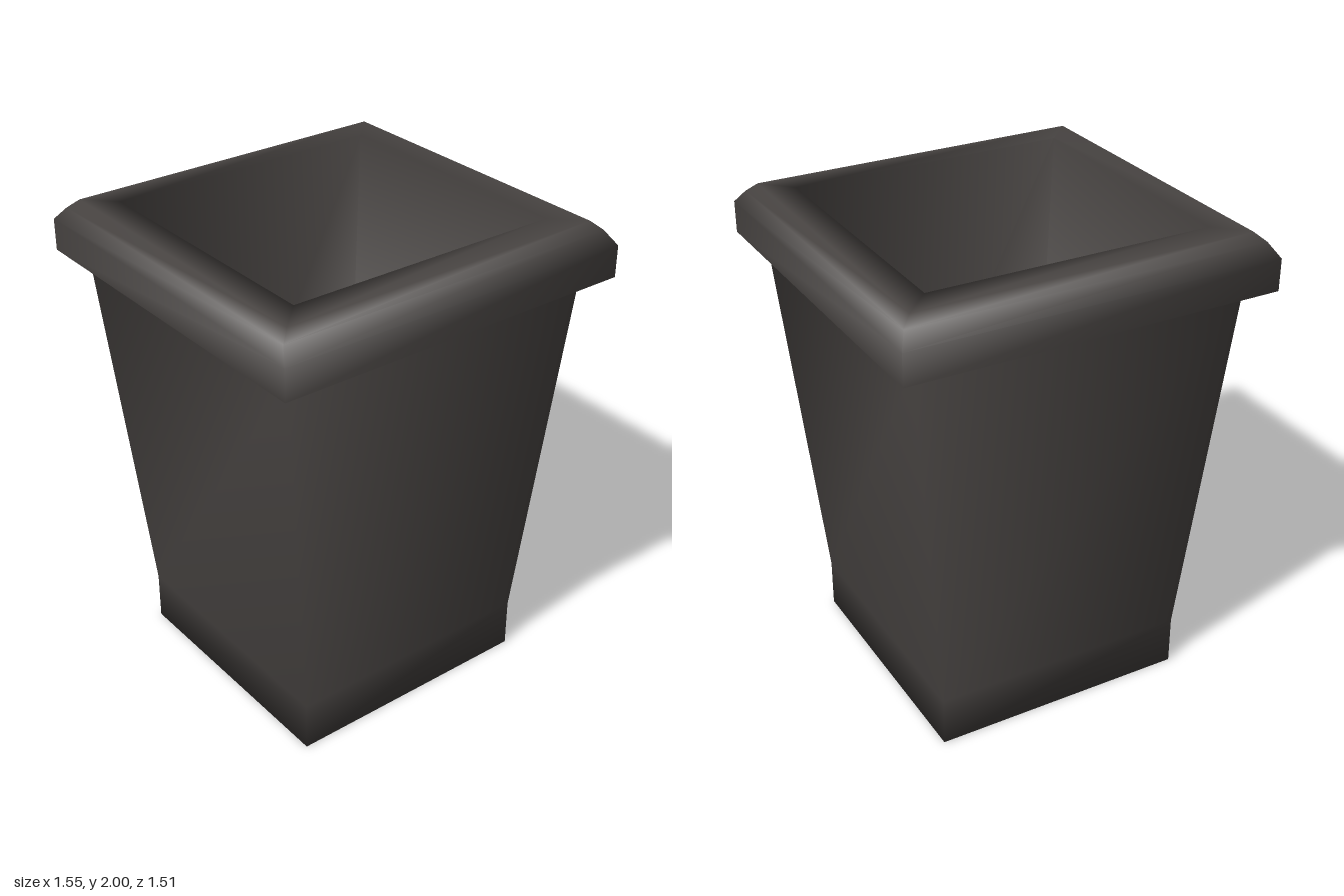
import * as THREE from 'three';

// Lofts rectangular rings [halfX, y, halfZ] with shared corners for smooth shading.
// Rings run so that the surface faces outward when going up the outside.
function loft(rings, capFirst, capLast) {
  const pos = [], index = [];
  for (const [x, y, z] of rings) pos.push(x, y, z, x, y, -z, -x, y, -z, -x, y, z);
  for (let r = 0; r < rings.length - 1; r++) {
    for (let i = 0; i < 4; i++) {
      const a = r * 4 + i, b = r * 4 + (i + 1) % 4, c = b + 4, d = a + 4;
      index.push(a, b, c, a, c, d);
    }
  }
  if (capFirst) index.push(0, 2, 1, 0, 3, 2);
  const n = (rings.length - 1) * 4;
  if (capLast) index.push(n + 3, n, n + 1, n + 3, n + 1, n + 2);
  const geo = new THREE.BufferGeometry();
  geo.setAttribute('position', new THREE.Float32BufferAttribute(pos, 3));
  geo.setIndex(index);
  geo.computeVertexNormals();
  return geo;
}

export function createModel() {
  const group = new THREE.Group();
  group.name = 'squareBin';
  const darkGrey = new THREE.MeshStandardMaterial({ color: 0x4a4644 });
  darkGrey.name = 'darkGrey';

  const add = (name, geo) => {
    const mesh = new THREE.Mesh(geo, darkGrey);
    mesh.name = name;
    group.add(mesh);
  };

  // Tapered outer wall on a straight foot, closed underneath
  add('body', loft([
    [0.545, 0, 0.545],
    [0.545, 0.21, 0.545],
    [0.69, 1.78, 0.655],
  ], true, false));

  // Flat underside of the rim
  add('rimUnderside', loft([
    [0.69, 1.78, 0.655],
    [0.773, 1.78, 0.755],
  ], false, false));

  // Bevelled rim that runs over into the tapered inner wall and floor
  add('rimAndInside', loft([
    [0.773, 1.78, 0.755],
    [0.773, 1.91, 0.755],
    [0.74, 1.965, 0.705],
    [0.70, 2, 0.67],
    [0.587, 2, 0.555],
    [0.44, 0.21, 0.44],
  ], false, true));

  return group;
}
